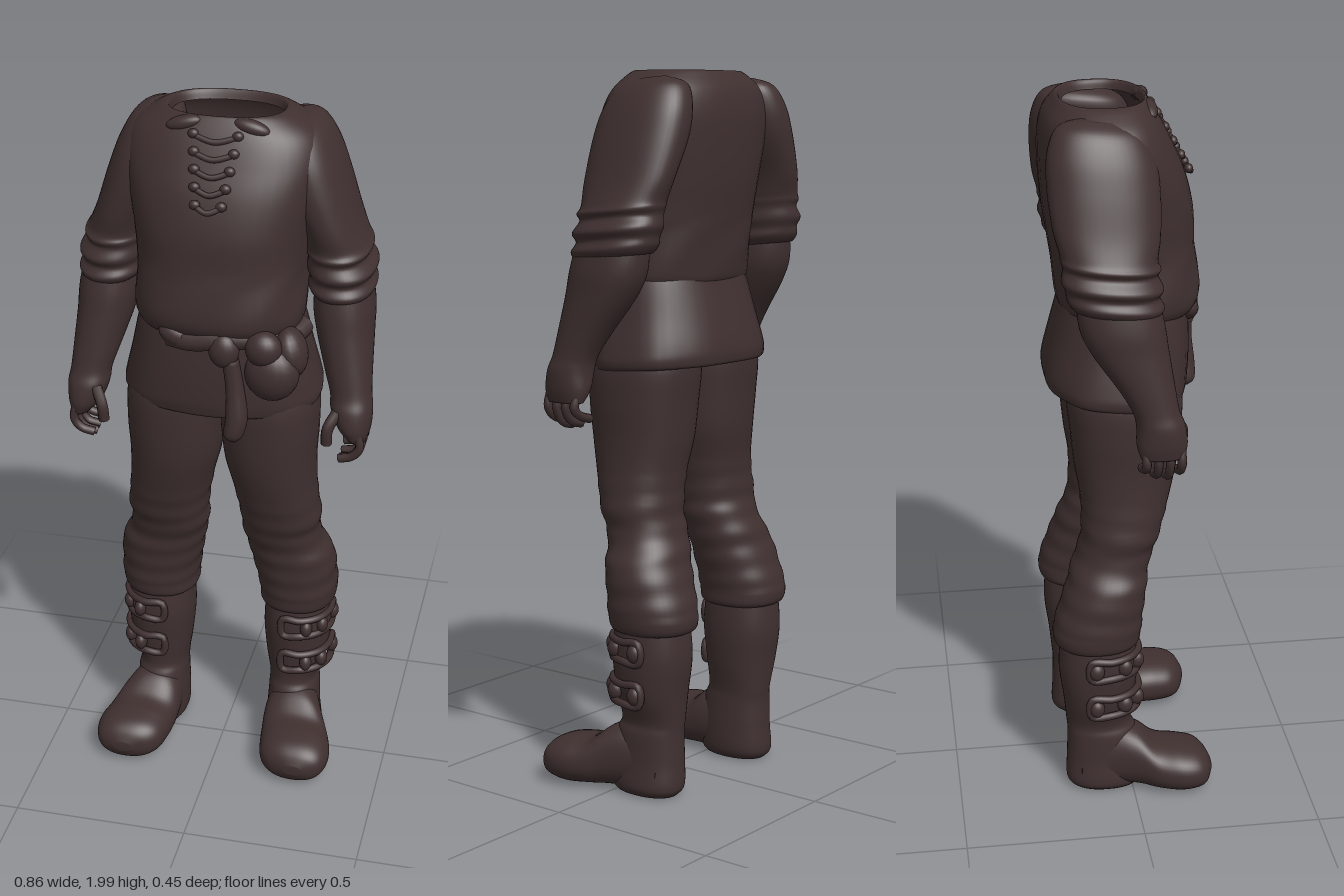
import * as THREE from 'three';

const cloth = new THREE.MeshStandardMaterial({ color: 0x403030, side: THREE.DoubleSide });
cloth.name = 'dark brown';

// Smooth skin through rings [t, x0, x1, v0, v1]; t runs along y (v = z) or along z (v = y)
function loft(rings, { alongZ = false, side = 1, power = 2.2, tilt = 0, fold = () => 0, caps = [true, true] } = {}) {
  const seg = 44, sub = 6, pos = [], idx = [];
  const at = i => rings[Math.max(0, Math.min(rings.length - 1, i))];
  const cr = (a, b, c, d, u) => b + 0.5 * u * (c - a + u * (2 * a - 5 * b + 4 * c - d + u * (3 * (b - c) + d - a)));
  const put = (x, t, v) => alongZ ? pos.push(x * side, v, t) : pos.push(x * side, t + tilt * v, v);
  const round = w => Math.sign(w) * Math.abs(w) ** (2 / power);
  const rows = (rings.length - 1) * sub + 1;
  for (let r = 0; r < rows; r++) {
    const i = Math.min(Math.floor(r / sub), rings.length - 2), u = r / sub - i;
    const [t, x0, x1, v0, v1] = at(i).map((_, k) => cr(at(i - 1)[k], at(i)[k], at(i + 1)[k], at(i + 2)[k], u));
    for (let s = 0; s < seg; s++) {
      const a = s / seg * Math.PI * 2, g = 1 + fold(t, a);
      put((x0 + x1) / 2 + (x1 - x0) / 2 * g * round(Math.cos(a)), t, (v0 + v1) / 2 + (v1 - v0) / 2 * g * round(Math.sin(a)));
    }
  }
  const flip = (side < 0) !== alongZ !== (rings[0][0] > rings.at(-1)[0]);
  const tri = (a, b, c) => flip ? idx.push(a, c, b) : idx.push(a, b, c);
  for (let r = 0; r < rows - 1; r++) for (let s = 0; s < seg; s++) {
    const a = r * seg + s, b = r * seg + (s + 1) % seg;
    tri(a, a + seg, b);
    tri(b, a + seg, b + seg);
  }
  [0, rows - 1].forEach((row, e) => {
    if (!caps[e]) return;
    const [t, x0, x1, v0, v1] = e ? rings.at(-1) : rings[0], c = pos.length / 3;
    put((x0 + x1) / 2, t, (v0 + v1) / 2);
    for (let s = 0; s < seg; s++) {
      const a = row * seg + s, b = row * seg + (s + 1) % seg;
      e ? tri(a, c, b) : tri(a, b, c);
    }
  });
  const g = new THREE.BufferGeometry();
  g.setAttribute('position', new THREE.Float32BufferAttribute(pos, 3));
  g.setIndex(idx);
  g.computeVertexNormals();
  return g;
}

function tube(points, radius, closed = false) {
  const curve = new THREE.CatmullRomCurve3(points.map(p => new THREE.Vector3(...p)), closed);
  return new THREE.TubeGeometry(curve, points.length * 5, radius, 8, closed);
}

export function createModel() {
  const model = new THREE.Group();
  const add = (name, geometry, parent = model) => {
    const m = new THREE.Mesh(geometry, cloth);
    m.name = name;
    parent.add(m);
    return m;
  };
  const blob = (name, [x, y, z], [rx, ry, rz], parent, turn = 0) => {
    const m = add(name, new THREE.SphereGeometry(1, 20, 14), parent);
    m.position.set(x, y, z);
    m.scale.set(rx, ry, rz);
    m.rotation.z = turn;
  };
  const sym = (t, w, back, front) => [t, -w, w, back, front];

  // Tunic, open at the neck
  add('tunicBody', loft([
    sym(1.41, 0.2, -0.155, 0.165), sym(1.43, 0.225, -0.175, 0.195), sym(1.48, 0.232, -0.185, 0.21),
    sym(1.6, 0.23, -0.2, 0.195), sym(1.7, 0.24, -0.215, 0.19), sym(1.8, 0.26, -0.222, 0.165),
    sym(1.88, 0.27, -0.222, 0.13), sym(1.94, 0.252, -0.21, 0.1), sym(1.98, 0.2, -0.185, 0.075),
    sym(1.995, 0.16, -0.168, 0.06), sym(1.97, 0.15, -0.155, 0.05)
  ], { power: 2.4, caps: [false, false], fold: (t, a) => t < 1.6 ? 0.008 * Math.sin(7 * a + t * 30) : 0 }));
  add('tunicSkirt', loft([
    sym(1.47, 0.21, -0.165, 0.18), sym(1.42, 0.23, -0.175, 0.18), sym(1.33, 0.25, -0.198, 0.183),
    sym(1.25, 0.27, -0.217, 0.18), sym(1.21, 0.277, -0.22, 0.175), sym(1.19, 0.265, -0.21, 0.165),
    sym(1.21, 0.22, -0.17, 0.13)
  ], { power: 2.4, tilt: -0.06, caps: [false, false], fold: (t, a) => 0.012 * Math.sin(9 * a) * (1.45 - t) * 3 }));

  // Neck lacing and collar edge
  const lacing = new THREE.Group();
  lacing.name = 'neckLacing';
  model.add(lacing);
  const chest = y => 0.06 + (2 - y) * 0.56;
  for (let i = 0; i < 5; i++) {
    const y = 1.79 + i * 0.04, w = 0.035 + i * 0.006;
    add('lace', tube([[-w, y, chest(y)], [0, y - 0.012, chest(y) + 0.012], [w, y, chest(y)]], 0.008), lacing);
    for (const s of [-1, 1]) blob('eyelet', [s * w, y + 0.004, chest(y)], [0.015, 0.013, 0.012], lacing);
  }
  for (const s of [-1, 1]) blob('collarFlap', [s * 0.09, 1.972, 0.062], [0.05, 0.02, 0.022], lacing, s * -0.25);

  // Belt, pouches and hanging strap
  const belt = new THREE.Group();
  belt.name = 'belt';
  model.add(belt);
  const sash = [];
  for (let d = 118; d >= 10; d -= 18) {
    const a = d * Math.PI / 180;
    sash.push([0.235 * Math.cos(a), 1.415 + 0.008 * Math.cos(a * 5), 0.18 * Math.sin(a)]);
  }
  add('sash', tube(sash, 0.03), belt);
  blob('sashEnd', [-0.09, 1.42, 0.17], [0.05, 0.032, 0.03], belt, -0.4);
  blob('knot', [0.045, 1.395, 0.188], [0.042, 0.05, 0.034], belt);
  blob('pouch', [0.17, 1.33, 0.16], [0.075, 0.08, 0.058], belt);
  blob('pouchFlap', [0.15, 1.405, 0.178], [0.05, 0.05, 0.042], belt);
  blob('sidePouch', [0.215, 1.38, 0.125], [0.045, 0.07, 0.06], belt, 0.2);
  add('hangingStrap', loft([
    [1.37, 0.04, 0.085, 0.165, 0.21], [1.28, 0.05, 0.1, 0.16, 0.212], [1.2, 0.05, 0.11, 0.155, 0.222],
    [1.15, 0.045, 0.1, 0.158, 0.222], [1.13, 0.06, 0.085, 0.175, 0.205]
  ]), belt);

  for (const side of [-1, 1]) {
    const label = side > 0 ? 'left' : 'right';
    // Sleeve with rolled cuff
    const arm = new THREE.Group();
    arm.name = label + 'Arm';
    model.add(arm);
    add('sleeve', loft([
      [1.965, 0.17, 0.22, -0.13, -0.03], [1.94, 0.13, 0.262, -0.19, 0.03], [1.88, 0.13, 0.298, -0.218, 0.06],
      [1.8, 0.15, 0.328, -0.224, 0.07], [1.7, 0.2, 0.36, -0.215, 0.065], [1.64, 0.215, 0.385, -0.2, 0.055],
      [1.62, 0.217, 0.397, -0.198, 0.062], [1.6, 0.222, 0.39, -0.192, 0.055], [1.57, 0.222, 0.412, -0.197, 0.068],
      [1.545, 0.23, 0.402, -0.187, 0.058], [1.52, 0.228, 0.413, -0.183, 0.07], [1.5, 0.245, 0.4, -0.165, 0.055],
      [1.51, 0.26, 0.38, -0.14, 0.03]
    ], { side, tilt: -0.1 }));
    // Bare forearm and hand
    add('forearm', loft([
      [1.56, 0.25, 0.395, -0.16, 0.05], [1.47, 0.245, 0.412, -0.155, 0.07], [1.4, 0.258, 0.415, -0.125, 0.08],
      [1.3, 0.29, 0.42, -0.055, 0.095], [1.24, 0.31, 0.424, -0.02, 0.105], [1.2, 0.315, 0.43, -0.01, 0.12],
      [1.15, 0.335, 0.428, -0.01, 0.125], [1.115, 0.365, 0.42, 0, 0.115]
    ], { side }));
    for (let i = 0; i < 4; i++) {
      const z = 0.013 + i * 0.031, drop = [0.02, 0.005, 0, 0.012][i];
      add('finger', tube([
        [side * 0.398, 1.14, z], [side * 0.405, 1.1, z + 0.002],
        [side * 0.385, 1.06 + drop, z], [side * 0.348, 1.048 + drop, z - 0.004]
      ], 0.0125), arm);
    }
    add('thumb', tube([[side * 0.34, 1.2, 0.1], [side * 0.318, 1.155, 0.122], [side * 0.315, 1.11, 0.118]], 0.016), arm);

    // Trouser leg with creases at the knee
    const leg = new THREE.Group();
    leg.name = label + 'Leg';
    model.add(leg);
    add('trouserLeg', loft([
      [1.29, 0.01, 0.235, -0.16, 0.13], [1.2, -0.004, 0.268, -0.17, 0.15], [1.1, -0.002, 0.272, -0.16, 0.147],
      [1, 0.008, 0.267, -0.15, 0.135], [0.9, 0.033, 0.27, -0.135, 0.112], [0.8, 0.05, 0.282, -0.135, 0.085],
      [0.75, 0.052, 0.277, -0.145, 0.068], [0.7, 0.062, 0.292, -0.165, 0.052], [0.65, 0.072, 0.316, -0.18, 0.045],
      [0.58, 0.086, 0.322, -0.205, 0.035], [0.52, 0.096, 0.324, -0.222, 0.028], [0.48, 0.1, 0.315, -0.215, 0.02],
      [0.47, 0.13, 0.285, -0.18, -0.01]
    ], { side, fold: (t, a) => t < 0.9 && t > 0.52 ? 0.013 * Math.sin(t * 95 + 1.5 * Math.sin(a)) : 0 }), leg);
    // Boot
    add('bootShaft', loft([
      [0.5, 0.115, 0.305, -0.2, 0.01], [0.4, 0.11, 0.31, -0.207, 0.018], [0.3, 0.118, 0.3, -0.195, 0.008],
      [0.22, 0.13, 0.275, -0.187, 0], [0.18, 0.13, 0.28, -0.184, 0.015], [0.1, 0.127, 0.283, -0.186, 0.03],
      [0.03, 0.13, 0.288, -0.188, 0.03], [0.005, 0.15, 0.27, -0.17, 0.02]
    ], { side }), leg);
    add('bootFoot', loft([
      [-0.15, 0.15, 0.27, 0.01, 0.12], [-0.06, 0.137, 0.287, 0.008, 0.195], [0.01, 0.132, 0.31, 0.01, 0.19],
      [0.07, 0.135, 0.338, 0.008, 0.147], [0.13, 0.142, 0.353, 0.004, 0.14], [0.18, 0.155, 0.348, 0.008, 0.13],
      [0.21, 0.185, 0.328, 0.02, 0.11], [0.228, 0.235, 0.285, 0.05, 0.08]
    ], { side, alongZ: true, power: 2.3 }), leg);
    // Looped boot straps with toggles
    for (const y of [0.425, 0.305]) {
      const wrap = (deg, h) => {
        const a = deg * Math.PI / 180;
        return [side * (0.21 + 0.102 * Math.cos(a)), y + h, -0.094 + 0.115 * Math.sin(a)];
      };
      add('bootStrap', tube([
        ...[-15, 15, 45, 75, 105].map(d => wrap(d, 0.027)), ...[105, 75, 45, 15, -15].map(d => wrap(d, -0.027))
      ], 0.011, true), leg);
      for (const d of [-8, 35, 65]) blob('toggle', wrap(d, 0), [0.018, 0.026, 0.022], leg);
    }
  }
  return model;
}
